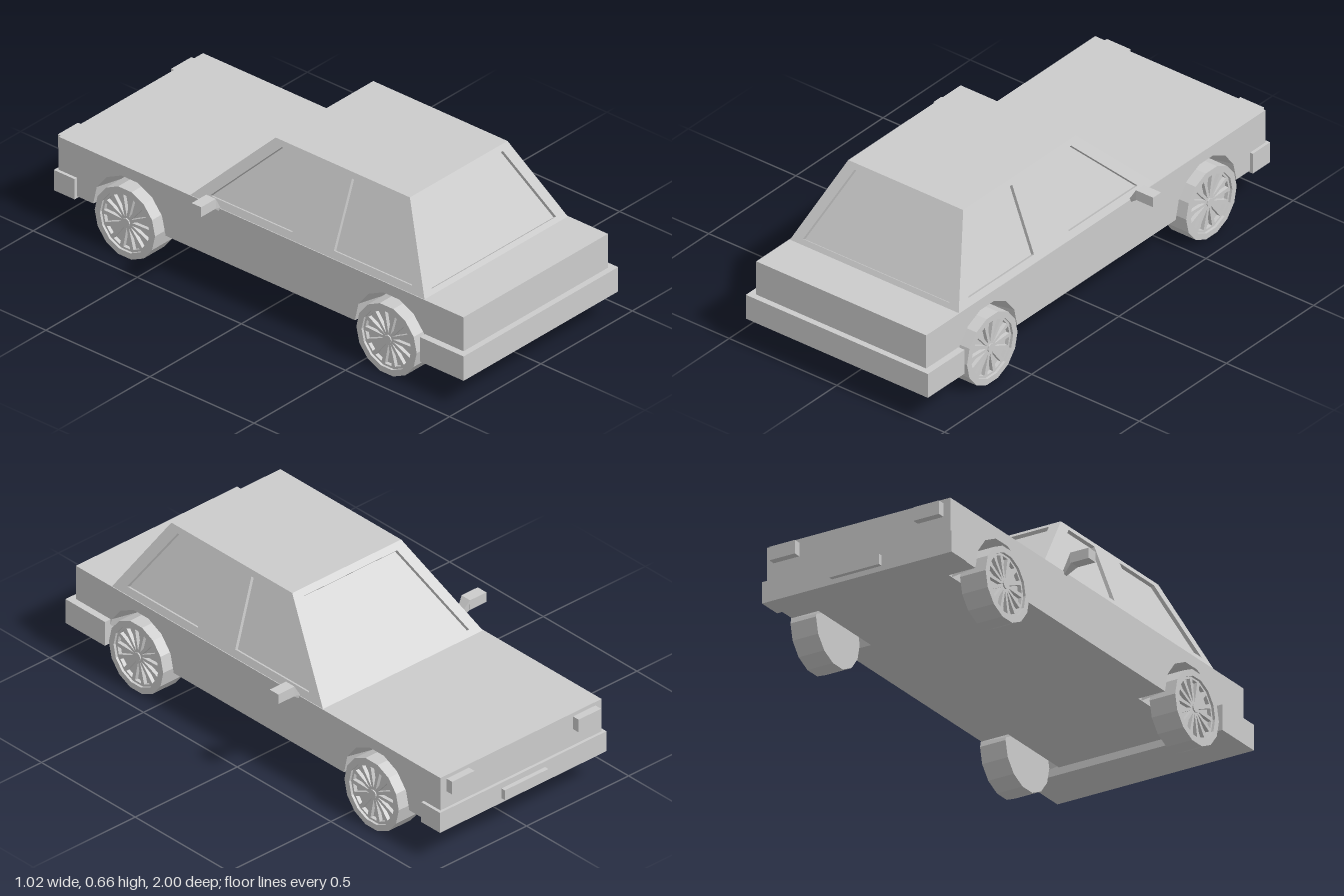
import * as THREE from 'three';
import { ConvexGeometry } from 'three/addons/geometries/ConvexGeometry.js';

const mat = new THREE.MeshStandardMaterial({ color: 0xcccccc, flatShading: true, side: THREE.DoubleSide });
const FLOOR = 0.145, DECK = 0.36, ROOF = 0.662;
const HALF = 0.395, WELL = 0.28;
const SIDES = 14, AXLES = [0.627, -0.63];

function add(parent, name, geometry) {
  const mesh = new THREE.Mesh(geometry, mat);
  mesh.name = name;
  parent.add(mesh);
  return mesh;
}

// Box given by its limits on each axis
function box(parent, name, [x0, x1], [y0, y1], [z0, z1]) {
  const g = new THREE.BoxGeometry(x1 - x0, y1 - y0, z1 - z0);
  g.translate((x0 + x1) / 2, (y0 + y1) / 2, (z0 + z1) / 2);
  return add(parent, name, g);
}

const polygon = (pts) => pts.map(([x, y]) => new THREE.Vector2(x, y));
const extrude = (shape, depth) => new THREE.ExtrudeGeometry(shape, { depth, bevelEnabled: false });

// Lower body: a plain core between two sides with wheel arches cut out
function buildBody(car) {
  const z0 = -0.97, z1 = 0.975, outer = 0.174, inner = 0.153;
  box(car, 'bodyCore', [-WELL, WELL], [FLOOR, DECK], [z0, z1]);

  const pts = [[z0, DECK], [z0, FLOOR]];
  for (const axle of [...AXLES].reverse()) {
    for (let i = 0; i <= SIDES / 2; i++) {
      const a = Math.PI - (i * 2 * Math.PI) / SIDES;
      pts.push([axle + outer * Math.cos(a), FLOOR + outer * Math.sin(a)]);
    }
  }
  pts.push([z1, FLOOR], [z1, DECK]);
  const depth = HALF - WELL;

  for (const s of [1, -1]) {
    const side = extrude(new THREE.Shape(polygon(pts)), depth);
    side.rotateY(-Math.PI / 2);
    side.translate(s > 0 ? HALF : -WELL, 0, 0);
    add(car, 'bodySide', side);
    // Arch lining narrows towards the inside
    for (const axle of AXLES) {
      const lining = new THREE.CylinderGeometry(
        s > 0 ? outer : inner, s > 0 ? inner : outer, depth, SIDES / 2, 1, true, Math.PI, Math.PI);
      lining.rotateZ(-Math.PI / 2);
      lining.translate((s * (HALF + WELL)) / 2, FLOOR, axle);
      add(car, 'wheelArch', lining);
    }
  }
}

// Sloping cabin wall with recessed windows; points are (across, world height)
function wall(car, name, yaw, base, top, outline, windows) {
  const recess = 0.014, rise = ROOF - DECK, run = base - top;
  const stretch = Math.hypot(rise, run) / rise;
  const flat = (pts) => polygon(pts.map(([h, y]) => [h, (y - DECK) * stretch]));
  const pivot = new THREE.Group();
  pivot.name = name;
  pivot.rotation.y = yaw;
  const lean = new THREE.Group();
  lean.position.set(0, DECK, base);
  lean.rotation.x = -Math.atan2(run, rise);
  pivot.add(lean);
  car.add(pivot);

  const shape = new THREE.Shape(flat(outline));
  shape.holes = windows.map((w) => new THREE.Path(flat(w)));
  add(lean, 'windowFrame', extrude(shape, recess).translate(0, 0, -recess));
  for (const w of windows) {
    add(lean, 'windowPane', new THREE.ShapeGeometry(new THREE.Shape(flat(w))).translate(0, 0, -recess));
  }
}

function buildCabin(car) {
  const w = 0.392, t = 0.267, front = -0.34, back = 0.785, roofFront = -0.04, roofBack = 0.605;
  const endOutline = [[-w, DECK], [w, DECK], [t, ROOF], [-t, ROOF]];
  const endWindow = [[-0.34, 0.378], [0.34, 0.378], [0.228, 0.642], [-0.228, 0.642]];
  wall(car, 'rearWindow', 0, back, roofBack, endOutline, [endWindow]);
  wall(car, 'windscreen', Math.PI, -front, -roofFront, endOutline, [endWindow]);

  const sideOutline = [[front, DECK], [back, DECK], [roofBack, ROOF], [roofFront, ROOF]];
  const frontWindow = [[-0.255, 0.386], [0.14, 0.386], [0.168, 0.64], [-0.003, 0.64]];
  const backWindow = [[0.34, 0.386], [0.717, 0.386], [0.562, 0.64], [0.335, 0.64]];
  for (const s of [1, -1]) {
    const along = (pts) => pts.map(([z, y]) => [-s * z, y]);
    wall(car, s > 0 ? 'leftCabinSide' : 'rightCabinSide', (s * Math.PI) / 2, w, t,
      along(sideOutline), [along(frontWindow), along(backWindow)]);
  }
  box(car, 'roof', [-t, t], [ROOF - 0.012, ROOF], [roofFront, roofBack]);
}

// Wheel with a recessed rim and wedge openings between the spokes
function buildWheel() {
  const wheel = new THREE.Group();
  wheel.name = 'wheel';
  const profile = [[0, -0.055], [0.145, -0.055], [0.145, 0.055], [0.12, 0.055], [0.12, 0.03], [0, 0.03]];
  add(wheel, 'tyre', new THREE.LatheGeometry(polygon(profile), SIDES).rotateZ(-Math.PI / 2));

  const polar = (r, a) => [r * Math.cos(a), r * Math.sin(a)];
  const step = (2 * Math.PI) / SIDES;
  const rim = [], holes = [];
  for (let i = 0; i < SIDES; i++) {
    const a = (i + 0.5) * step;
    rim.push(polar(0.12, i * step));
    holes.push(new THREE.Path(polygon([polar(0.024, a), polar(0.11, a - 0.15), polar(0.11, a + 0.15)])));
  }
  const shape = new THREE.Shape(polygon(rim));
  shape.holes = holes;
  add(wheel, 'spokes', extrude(shape, 0.015).translate(0, 0, 0.03).rotateY(Math.PI / 2));
  add(wheel, 'hub', new THREE.CylinderGeometry(0.017, 0.017, 0.02, 8).rotateZ(-Math.PI / 2).translate(0.04, 0, 0));
  return wheel;
}

// Door mirror on a bracket that widens outwards
function buildMirror(car, s) {
  const z = -0.207;
  const x = (a, b) => (s > 0 ? [a, b] : [-b, -a]);
  box(car, 'mirror', x(0.43, 0.51), [0.38, 0.421], [z - 0.023, z + 0.023]);
  const pts = [];
  for (const k of [1, -1]) {
    pts.push(
      new THREE.Vector3(s * 0.39, 0.345, z + k * 0.006),
      new THREE.Vector3(s * 0.39, 0.362, z + k * 0.01),
      new THREE.Vector3(s * 0.43, 0.421, z + k * 0.022),
      new THREE.Vector3(s * 0.435, 0.381, z + k * 0.022));
  }
  add(car, 'mirrorBracket', new ConvexGeometry(pts));
}

export function createModel() {
  const car = new THREE.Group();
  car.name = 'car';
  buildBody(car);
  buildCabin(car);

  // Bumpers and number plate
  box(car, 'rearBumper', [-0.423, 0.423], [0.116, 0.218], [0.79, 1]);
  box(car, 'frontBumper', [-0.408, 0.408], [0.137, 0.222], [-0.982, -0.882]);
  box(car, 'frontPlate', [-0.107, 0.107], [0.157, 0.198], [-1, -0.97]);

  // Paired parts
  for (const s of [1, -1]) {
    box(car, 'headlight', s > 0 ? [0.255, 0.365] : [-0.365, -0.255], [0.291, 0.345], [-1, -0.96]);
    buildMirror(car, s);
    for (const axle of AXLES) {
      const wheel = buildWheel();
      wheel.position.set(s * 0.365, 0.1415, axle);
      wheel.rotation.y = s > 0 ? 0 : Math.PI;
      car.add(wheel);
    }
  }
  return car;
}
